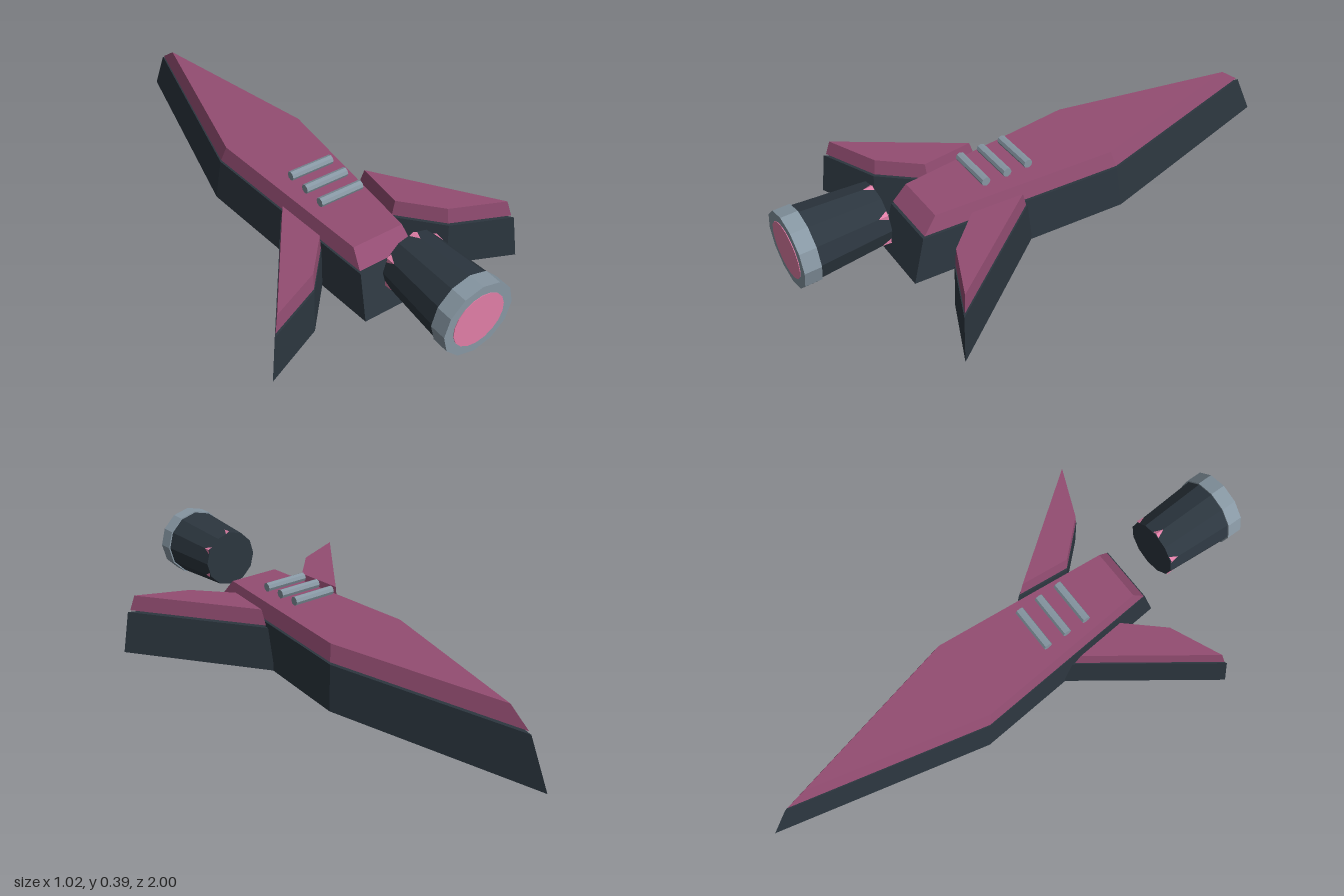
import * as THREE from 'three';

const mat = (color) => new THREE.MeshStandardMaterial({ color, flatShading: true });

// Convex outline of [x, z] points, lofted between two heights, each scaled about a centre
function taperedPlate(outline, [cx, cz], y0, s0, y1, s1) {
  let area = 0;
  outline.forEach(([x, z], i) => {
    const [u, v] = outline[(i + 1) % outline.length];
    area += x * v - u * z;
  });
  const pts = area > 0 ? [...outline].reverse() : outline;
  const ring = (y, s) => pts.map(([x, z]) => [cx + (x - cx) * s, y, cz + (z - cz) * s]);
  const b = ring(y0, s0), t = ring(y1, s1), n = pts.length, pos = [];
  const tri = (...corners) => corners.forEach((p) => pos.push(...p));
  for (let i = 0; i < n; i++) {
    const j = (i + 1) % n;
    tri(b[i], b[j], t[j]);
    tri(b[i], t[j], t[i]);
    if (i > 0 && j > 0) {
      tri(t[0], t[i], t[j]);
      tri(b[0], b[j], b[i]);
    }
  }
  const g = new THREE.BufferGeometry();
  g.setAttribute('position', new THREE.Float32BufferAttribute(pos, 3));
  g.computeVertexNormals();
  return g;
}

export function createModel() {
  const model = new THREE.Group();
  const dark = mat(0x2c363f), plum = mat(0x934d72), steel = mat(0x8797a3), pink = mat(0xe07ea6);

  const add = (name, geometry, material, parent = model) => {
    const mesh = new THREE.Mesh(geometry, material);
    mesh.name = name;
    parent.add(mesh);
    return mesh;
  };

  // Fuselage: dark hull with a separate plum deck floating just above it
  const body = [[0, -1], [0.19, -0.19], [0.12, 0.63], [-0.12, 0.63], [-0.19, -0.19]];
  add('hull', taperedPlate(body, [0, 0], 0, 1, 0.168, 0.92), dark);
  add('deck', taperedPlate(body, [0, 0], 0.176, 0.91, 0.236, 0.83), plum);

  // Swept wings, mirrored
  for (const [side, m] of [['left', 1], ['right', -1]]) {
    const wing = [[0.155, 0.18], [0.51, 0.67], [0.28, 0.57], [0.135, 0.41]].map(([x, z]) => [x * m, z]);
    const centre = [0.26 * m, 0.45];
    add(side + 'WingHull', taperedPlate(wing, centre, 0, 1, 0.168, 0.92), dark);
    add(side + 'WingDeck', taperedPlate(wing, centre, 0.176, 0.89, 0.236, 0.83), plum);
  }

  // Cross bars above the deck
  for (const z of [0.145, 0.23, 0.315]) {
    const bar = add('crossBar', new THREE.CylinderGeometry(0.017, 0.017, 0.17, 8), steel);
    bar.rotation.z = Math.PI / 2;
    bar.position.set(0, 0.272, z);
  }

  // Thruster, lying along z
  const thruster = new THREE.Group();
  thruster.name = 'thruster';
  thruster.position.y = 0.258;
  model.add(thruster);
  const along = (name, material, rBack, rFront, z0, z1, sides, open = false) => {
    const g = new THREE.CylinderGeometry(rFront, rBack, z1 - z0, sides, 1, open);
    g.rotateX(Math.PI / 2).translate(0, 0, (z0 + z1) / 2);
    return add(name, g, material, thruster);
  };
  along('nozzle', dark, 0.11, 0.128, 0.685, 0.945, 12);
  along('nozzleRing', steel, 0.133, 0.133, 0.94, 0.998, 12);
  along('glow', pink, 0.098, 0.098, 0.96, 1, 18);
  // Inner core whose corners just show at the back of the nozzle
  along('innerCore', pink, 0.115, 0.095, 0.687, 0.94, 6, true);

  return model;
}
